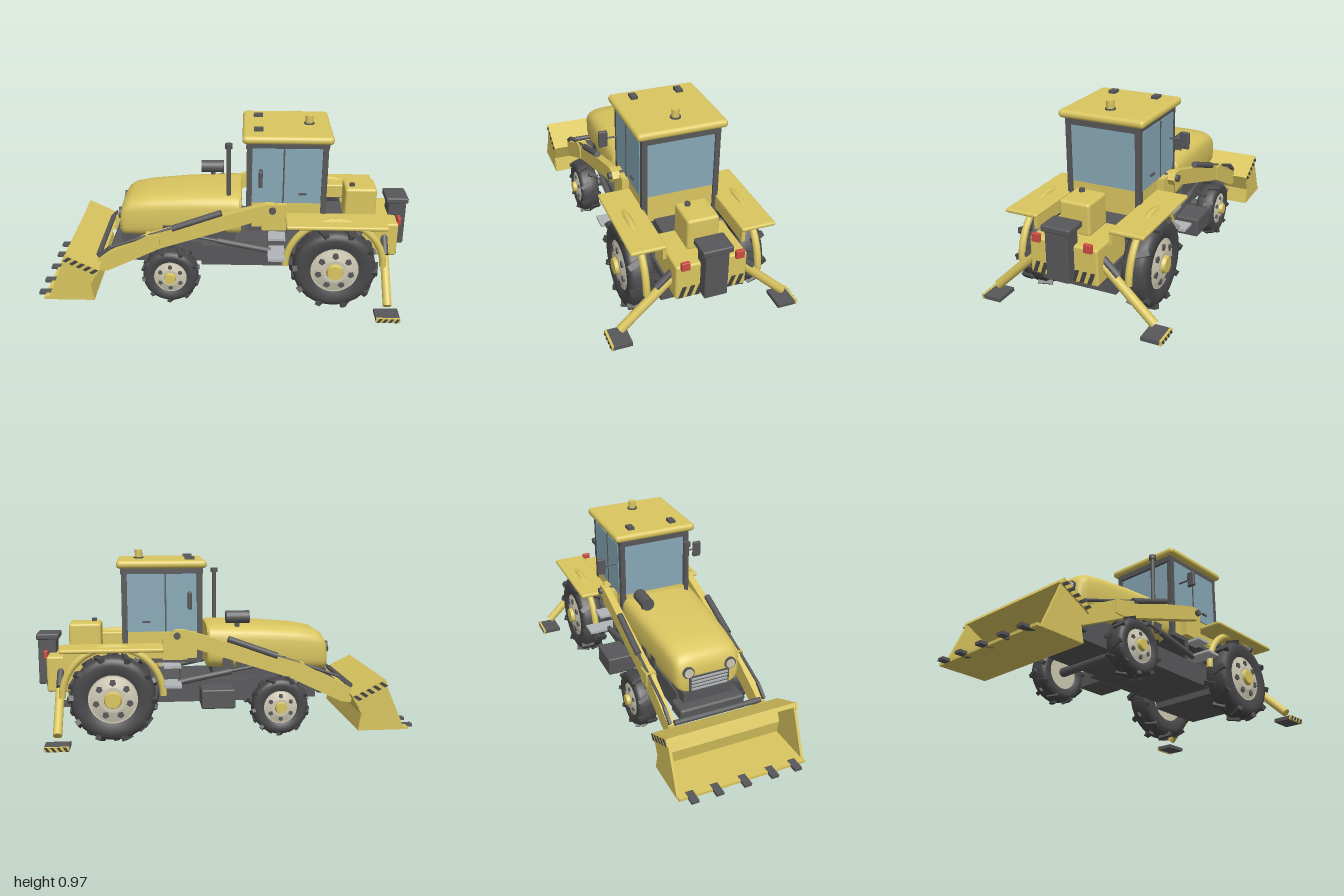
import * as THREE from 'three';
import { toCreasedNormals } from 'three/addons/utils/BufferGeometryUtils.js';
import { RoundedBoxGeometry } from 'three/addons/geometries/RoundedBoxGeometry.js';

const paint = (name, color) => {
  const m = new THREE.MeshStandardMaterial({ color });
  m.name = name;
  return m;
};

export function createModel() {
  const root = new THREE.Group();
  root.name = 'tractor';
  const yellow = paint('yellow', 0xdac660), grey = paint('darkGrey', 0x58585a), rubber = paint('rubber', 0x48484a);
  const glass = paint('glass', 0x87a8b6), cream = paint('cream', 0xcfcab4), red = paint('red', 0xcc4c42);
  const steel = paint('steel', 0xb2b6b9), black = paint('stripeBlack', 0x454341);

  const add = (name, geo, mat, parent = root) => {
    const m = new THREE.Mesh(geo, mat);
    m.name = name;
    parent.add(m);
    return m;
  };
  // box from its limits, with optional rounded edges
  const box = (name, mat, x0, x1, y0, y1, z0, z1, r = 0) => {
    const s = [x1 - x0, y1 - y0, Math.abs(z1 - z0)];
    const m = add(name, r ? new RoundedBoxGeometry(...s, 3, r) : new THREE.BoxGeometry(...s), mat);
    m.position.set((x0 + x1) / 2, (y0 + y1) / 2, (z0 + z1) / 2);
    return m;
  };
  // round bar between two points
  const rod = (name, mat, a, b, r, sides = 14) => {
    const p = new THREE.Vector3(...a), q = new THREE.Vector3(...b), d = q.clone().sub(p);
    const m = add(name, new THREE.CylinderGeometry(r, r, d.length(), sides), mat);
    m.position.copy(p).add(q).multiplyScalar(0.5);
    m.quaternion.setFromUnitVectors(new THREE.Vector3(0, 1, 0), d.normalize());
    return m;
  };
  // slab between two points of the side profile, running across z
  const beam = (name, mat, x0, y0, x1, y1, t, w, z = 0) => {
    const m = add(name, new THREE.BoxGeometry(Math.hypot(x1 - x0, y1 - y0), t, w), mat);
    m.position.set((x0 + x1) / 2, (y0 + y1) / 2, z);
    m.rotation.z = Math.atan2(y1 - y0, x1 - x0);
    return m;
  };
  const shapeOf = pts => new THREE.Shape(pts.map(p => new THREE.Vector2(...p)));
  const plate = (name, mat, pts, depth, z, parent) => {
    const m = add(name, new THREE.ExtrudeGeometry(shapeOf(pts), { depth, bevelEnabled: false }), mat, parent);
    m.position.z = z - depth / 2;
    return m;
  };
  // slanted warning stripes on a strip centred on its own origin
  const hazard = (w, h, n) => {
    const g = new THREE.Group(), p = w / n;
    g.name = 'warningStripes';
    for (let i = 0; i < n; i++) {
      const x = -w / 2 + i * p;
      plate('stripe', black, [[x, -h / 2], [x + p * 0.5, -h / 2], [x + p, h / 2], [x + p * 0.5, h / 2]], 0.004, 0, g);
    }
    root.add(g);
    return g;
  };

  // bonnet lofted from rounded sections: x, bottom, top, half width
  const stations = [[-0.56, 0.33, 0.46, 0.15], [-0.552, 0.325, 0.49, 0.166], [-0.535, 0.32, 0.518, 0.175], [-0.5, 0.32, 0.541, 0.181],
    [-0.4, 0.32, 0.56, 0.188], [-0.2, 0.33, 0.576, 0.2], [0.03, 0.345, 0.584, 0.21], [0.08, 0.345, 0.584, 0.21], [0.092, 0.35, 0.576, 0.2]];
  const N = 40, pos = [], idx = [];
  const soft = v => Math.sign(v) * Math.sqrt(Math.abs(v));
  stations.forEach(([x, y0, y1, w], i) => {
    for (let j = 0; j < N; j++) {
      const a = j / N * Math.PI * 2, k = i * N + j, n = i * N + (j + 1) % N;
      pos.push(x, (y0 + y1) / 2 + soft(Math.sin(a)) * (y1 - y0) / 2, soft(Math.cos(a)) * w);
      if (i < stations.length - 1) idx.push(k, k + N, n, n, k + N, n + N);
      if (j > 0 && j < N - 1) {
        if (i === 0) idx.push(0, k, n);
        if (i === stations.length - 1) idx.push(i * N, n, k);
      }
    }
  });
  const hood = new THREE.BufferGeometry();
  hood.setAttribute('position', new THREE.Float32BufferAttribute(pos, 3));
  hood.setIndex(idx);
  add('bonnet', toCreasedNormals(hood, 0.7), yellow);
  box('grille', grey, -0.566, -0.54, 0.335, 0.42, -0.11, 0.11);
  for (let i = 0; i < 4; i++) box('grilleSlat', steel, -0.572, -0.56, 0.342 + i * 0.02, 0.352 + i * 0.02, -0.1, 0.1);
  box('bumper', grey, -0.62, -0.5, 0.2, 0.27, -0.18, 0.18, 0.015);
  box('bumperMount', grey, -0.56, -0.42, 0.25, 0.33, -0.14, 0.14);
  rod('airFilter', grey, [-0.135, 0.62, -0.147], [-0.01, 0.62, -0.147], 0.034, 20);
  rod('filterStem', grey, [-0.07, 0.54, -0.147], [-0.07, 0.61, -0.147], 0.014);
  rod('exhaustPipe', grey, [0.025, 0.54, 0.147], [0.025, 0.84, 0.147], 0.012);
  rod('exhaustCap', grey, [0.025, 0.835, 0.147], [0.025, 0.86, 0.147], 0.02);

  // chassis
  box('chassis', grey, -0.5, 0.8, 0.175, 0.295, -0.15, 0.15);
  box('chassisPan', grey, -0.12, 0.8, 0.175, 0.29, -0.19, 0.19);
  box('rearFrame', grey, 0.45, 0.8, 0.14, 0.24, -0.2, 0.2);
  box('hitchPlate', grey, 0.78, 0.82, 0.19, 0.25, -0.135, 0.135);
  box('engineBlock', grey, -0.45, 0.06, 0.28, 0.36, -0.13, 0.13);
  box('rearDeck', grey, 0.5, 0.68, 0.28, 0.42, -0.135, 0.135);
  box('batteryBox', grey, -0.04, 0.135, 0.17, 0.27, -0.345, -0.19, 0.008);
  rod('frontAxle', grey, [-0.28, 0.165, -0.27], [-0.28, 0.165, 0.27], 0.025);
  rod('rearAxle', grey, [0.585, 0.235, -0.28], [0.585, 0.235, 0.28], 0.04);

  // cab
  box('cabBase', yellow, 0.13, 0.525, 0.41, 0.556, -0.197, 0.197);
  box('cabFloor', grey, 0.12, 0.52, 0.39, 0.412, -0.2, 0.2);
  box('cabGlass', glass, 0.13, 0.527, 0.556, 0.855, -0.19, 0.19);
  box('roofFrame', grey, 0.115, 0.54, 0.853, 0.89, -0.2, 0.2);
  box('roof', yellow, 0.095, 0.56, 0.884, 0.925, -0.23, 0.23, 0.019);
  rod('beaconBase', grey, [0.445, 0.92, 0], [0.445, 0.932, 0], 0.027, 20);
  rod('beacon', yellow, [0.445, 0.93, 0], [0.445, 0.971, 0], 0.02, 20);

  // rear body, tank and boom post
  box('rearBody', yellow, 0.65, 0.93, 0.24, 0.428, -0.178, 0.178, 0.012);
  box('tank', yellow, 0.65, 0.82, 0.42, 0.585, -0.08, 0.08, 0.015);
  rod('tankCap', grey, [0.69, 0.58, 0.03], [0.69, 0.6, 0.03], 0.014);
  box('boomPost', grey, 0.89, 0.985, 0.258, 0.51, -0.058, 0.058, 0.006);
  box('boomPostCap', grey, 0.873, 0.993, 0.5, 0.532, -0.075, 0.075, 0.008);
  const rearStripes = hazard(0.33, 0.058, 8);
  rearStripes.position.set(0.931, 0.278, 0);
  rearStripes.rotation.y = Math.PI / 2;

  // bucket, open towards the nose
  const bw = 0.69;
  beam('bucketFloor', yellow, -0.96, 0.04, -0.69, 0.04, 0.014, bw);
  beam('bucketHeel', yellow, -0.695, 0.034, -0.712, 0.125, 0.014, bw);
  beam('bucketBack', yellow, -0.714, 0.118, -0.665, 0.22, 0.014, bw);
  beam('bucketTop', yellow, -0.83, 0.298, -0.66, 0.21, 0.022, bw);
  rod('bucketBar', grey, [-0.67, 0.255, -0.24], [-0.67, 0.255, 0.24], 0.014);
  for (const z of [-0.28, -0.15, 0, 0.15, 0.28]) box('bucketTooth', grey, -1, -0.925, 0.033, 0.048, z - 0.02, z + 0.02);

  // wheel with outer face towards +z: radius, width, rim radius, bolts, lugs
  const wheel = (name, x, y, z, R, W, rim, bolts, lugs) => {
    const g = new THREE.Group(), h = W / 2;
    g.name = name;
    const prof = [[rim * 0.92, -h * 0.7], [rim, -h * 0.9], [R * 0.8, -h], [R * 0.92, -h * 0.9], [R * 0.985, -h * 0.65], [R, 0],
      [R * 0.985, h * 0.65], [R * 0.92, h * 0.9], [R * 0.8, h], [rim, h * 0.9], [rim * 0.92, h * 0.7]];
    add('tyre', new THREE.LatheGeometry(prof.map(p => new THREE.Vector2(...p)), 40).rotateX(Math.PI / 2), rubber, g);
    const disc = (n, mat, r0, r1, z0, z1, px = 0, py = 0, sides = 32) => {
      const m = add(n, new THREE.CylinderGeometry(r1, r0, z1 - z0, sides).rotateX(Math.PI / 2), mat, g);
      m.position.set(px, py, (z0 + z1) / 2);
    };
    disc('rim', cream, rim, rim * 0.98, -h * 0.8, h * 0.82);
    disc('rimFace', cream, rim * 0.95, rim * 0.5, h * 0.8, h * 1.05);
    disc('hub', yellow, rim * 0.36, rim * 0.3, h, h + 0.022, 0, 0, 20);
    for (let i = 0; i < bolts; i++) {
      const a = Math.PI / 2 + i / bolts * Math.PI * 2;
      disc('rimBolt', grey, rim * 0.14, rim * 0.14, h * 0.8, h * 1.03, Math.cos(a) * rim * 0.67, Math.sin(a) * rim * 0.67, 5);
    }
    for (let i = 0; i < lugs * 2; i++) {
      const s = i % 2 ? 1 : -1, pivot = new THREE.Group();
      pivot.rotation.z = i / lugs * Math.PI;
      const m = add('treadLug', new THREE.BoxGeometry(R * 0.13, R * 0.12, h * 1.1), rubber, pivot);
      m.position.set(0, R * 0.985, s * h * 0.5);
      m.rotation.set(s * 0.18, s * 0.4, 0);
      g.add(pivot);
    }
    g.position.set(x, y, z);
    if (z < 0) g.rotation.y = Math.PI;
    root.add(g);
  };

  // paired parts
  for (const s of [-1, 1]) {
    wheel('frontWheel', -0.28, 0.163, s * 0.27, 0.148, 0.105, 0.09, 6, 9);
    wheel('rearWheel', 0.585, 0.232, s * 0.282, 0.218, 0.135, 0.13, 7, 10);

    rod('headlightRim', grey, [-0.568, 0.447, s * 0.115], [-0.53, 0.447, s * 0.115], 0.031, 20);
    rod('headlight', cream, [-0.573, 0.447, s * 0.115], [-0.56, 0.447, s * 0.115], 0.024, 20);
    for (const [x, w] of [[-0.3, 0.19], [-0.2, 0.197], [-0.09, 0.203], [-0.015, 0.207]])
      plate('sideVent', grey, [[x - 0.03, 0.35], [x + 0.025, 0.35], [x + 0.03, 0.41], [x - 0.025, 0.41]], 0.012, s * w);

    // cab fittings
    for (const x of [0.118, 0.507]) box('cabPillar', grey, x, x + 0.029, 0.39, 0.88, s * 0.174, s * 0.201);
    box('sideWindow', glass, 0.15, 0.505, 0.556, 0.855, s * 0.188, s * 0.204);
    box('doorSplit', grey, 0.306, 0.314, 0.556, 0.855, s * 0.19, s * 0.207);
    box('doorHandle', grey, 0.39, 0.43, 0.603, 0.613, s * 0.2, s * 0.213);
    rod('mirrorArm', grey, [0.19, 0.727, s * 0.19], [0.19, 0.727, s * 0.28], 0.005, 8);
    box('mirror', grey, 0.18, 0.2, 0.682, 0.77, s * 0.265, s * 0.311, 0.006);
    box('roofLamp', grey, 0.153, 0.203, 0.92, 0.94, s * 0.103, s * 0.138);

    // steps
    box('upperStep', steel, 0.235, 0.325, 0.375, 0.388, s * 0.2, s * 0.29);
    box('lowerStep', steel, 0.235, 0.325, 0.285, 0.298, s * 0.19, s * 0.35);
    box('stepHanger', grey, 0.232, 0.24, 0.285, 0.4, s * 0.195, s * 0.215);

    // rear wheel guards
    box('fenderTop', yellow, 0.325, 0.845, 0.474, 0.495, s * 0.19, s * 0.365, 0.009);
    box('fenderInner', yellow, 0.35, 0.84, 0.42, 0.48, s * 0.19, s * 0.208);
    add('fenderArch', new THREE.TorusGeometry(0.257, 0.018, 10, 36, Math.PI), yellow).position.set(0.585, 0.235, s * 0.288);

    // loader arm, its mounting and cylinders
    plate('loaderArm', yellow, [[-0.67, 0.245], [-0.4, 0.385], [0.22, 0.572], [0.27, 0.57], [0.29, 0.54], [0.27, 0.508],
      [-0.335, 0.31], [-0.62, 0.172], [-0.67, 0.17]], 0.04, s * 0.25);
    plate('armElbow', yellow, [[-0.41, 0.31], [-0.335, 0.308], [-0.335, 0.388], [-0.41, 0.388]], 0.055, s * 0.25);
    box('armTower', yellow, 0.2, 0.33, 0.41, 0.555, s * 0.195, s * 0.235);
    rod('armPivot', grey, [0.255, 0.542, s * 0.2], [0.255, 0.542, s * 0.285], 0.018);
    rod('tiltCylinder', grey, [-0.27, 0.425, s * 0.262], [-0.01, 0.52, s * 0.262], 0.017);
    rod('tiltRod', grey, [-0.6, 0.31, s * 0.262], [-0.26, 0.429, s * 0.262], 0.008, 10);
    rod('liftCylinder', grey, [0.25, 0.29, s * 0.235], [-0.03, 0.345, s * 0.235], 0.016);
    rod('liftRod', grey, [-0.03, 0.345, s * 0.235], [-0.25, 0.385, s * 0.235], 0.008, 10);
    beam('tiltLink', grey, -0.6, 0.31, -0.67, 0.255, 0.018, 0.015, s * 0.262);

    // bucket sides with striped edges
    plate('bucketSide', yellow, [[-0.94, 0.034], [-0.69, 0.034], [-0.712, 0.122], [-0.66, 0.215], [-0.825, 0.3]], 0.014, s * 0.341);
    beam('bucketRim', yellow, -0.835, 0.29, -0.66, 0.202, 0.036, 0.012, s * 0.35);
    const edge = hazard(0.19, 0.034, 5);
    edge.position.set(-0.748, 0.246, s * 0.356);
    edge.rotation.z = -0.466;

    // tail lamps and stabilisers
    box('tailLamp', red, 0.925, 0.945, 0.411, 0.454, s * 0.114, s * 0.157, 0.004);
    rod('stabiliserLeg', yellow, [0.858, 0.34, s * 0.15], [0.858, 0.076, s * 0.425], 0.023, 16);
    rod('stabiliserRam', grey, [0.858, 0.37, s * 0.15], [0.858, 0.28, s * 0.245], 0.018);
    box('stabiliserPad', grey, 0.796, 0.92, 0.014, 0.034, s * 0.383, s * 0.48);
    box('padEdge', yellow, 0.796, 0.92, 0.012, 0.036, s * 0.476, s * 0.488);
    const padStripes = hazard(0.12, 0.022, 4);
    padStripes.position.set(0.858, 0.024, s * 0.488);
  }
  return root;
}
